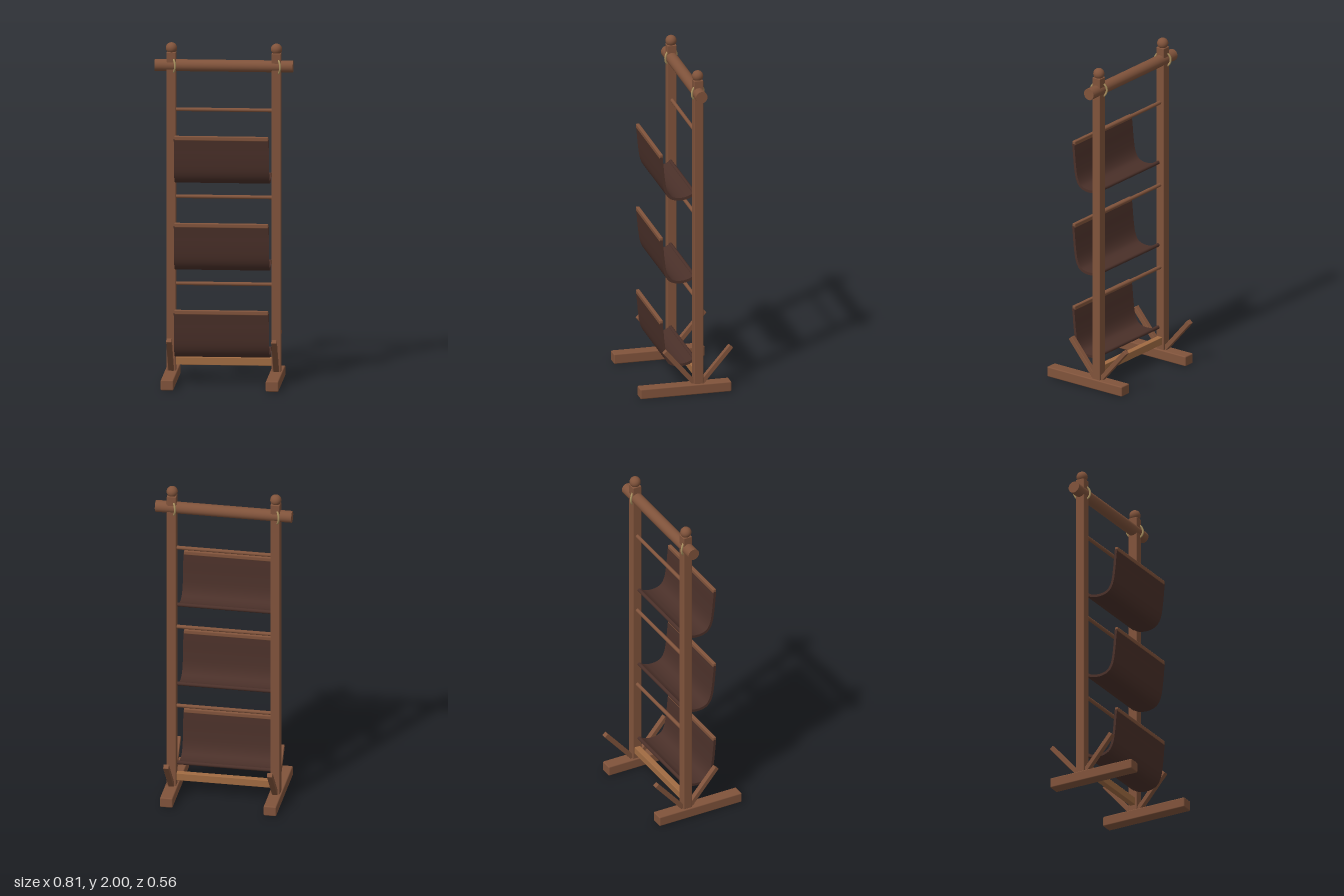
import * as THREE from 'three';
import { toCreasedNormals } from 'three/addons/utils/BufferGeometryUtils.js';
import { RoundedBoxGeometry } from 'three/addons/geometries/RoundedBoxGeometry.js';

const POST_X = 0.307, POST_Z = -0.073;
const SHELF_STEP = 0.515;

const wood = new THREE.MeshStandardMaterial({ name: 'brown wood', color: 0x80533b });
const paleWood = new THREE.MeshStandardMaterial({ name: 'pale wood', color: 0xa06b42 });
const leather = new THREE.MeshStandardMaterial({ name: 'dark leather', color: 0x4a3029 });
const rope = new THREE.MeshStandardMaterial({ name: 'tan rope', color: 0xa8905f });

function add(parent, name, geometry, material, x = 0, y = 0, z = 0) {
  const mesh = new THREE.Mesh(geometry, material);
  mesh.name = name;
  mesh.position.set(x, y, z);
  parent.add(mesh);
  return mesh;
}

const beam = (w, h, d, r = 0.005) => new RoundedBoxGeometry(w, h, d, 2, r);
const dowel = (radius, length) => new THREE.CylinderGeometry(radius, radius, length, 24).rotateZ(Math.PI / 2);

// Hanging sheet: a J-shaped strip of constant thickness, extruded across the rack
function slingGeometry(width, thickness) {
  const curve = new THREE.SplineCurve([
    [0.138, 0.272], [0.132, 0.215], [0.126, 0.15], [0.114, 0.073], [0.092, 0.027],
    [0.06, 0.008], [0.02, 0.003], [-0.02, 0.009], [-0.045, 0.02], [-0.062, 0.032],
  ].map(([z, y]) => new THREE.Vector2(z, y)));
  const outer = [], inner = [];
  for (let i = 0; i <= 32; i++) {
    const p = curve.getPoint(i / 32), t = curve.getTangent(i / 32);
    const n = new THREE.Vector2(-t.y, t.x).multiplyScalar(thickness / 2);
    outer.push(p.clone().add(n));
    inner.unshift(p.clone().sub(n));
  }
  const geometry = new THREE.ExtrudeGeometry(new THREE.Shape([...outer, ...inner]), { depth: width, bevelEnabled: false });
  geometry.translate(0, 0, -width / 2).rotateY(-Math.PI / 2);
  return toCreasedNormals(geometry, 0.7);
}

export function createModel() {
  const model = new THREE.Group();
  model.name = 'hangingRack';

  // Side frames: foot, post, ball finial, two braces and a rope lashing each
  for (const side of [-1, 1]) {
    const frame = new THREE.Group();
    frame.name = side > 0 ? 'leftFrame' : 'rightFrame';
    frame.position.x = side * POST_X;
    model.add(frame);

    add(frame, 'foot', beam(0.075, 0.062, 0.548, 0.007), wood, 0, 0.031, 0.006);
    add(frame, 'post', beam(0.056, 1.895, 0.056), wood, 0, 0.9975, POST_Z);
    add(frame, 'finial', new THREE.SphereGeometry(0.033, 24, 16), wood, 0, 1.967, POST_Z);

    // Braces spread upward from the foot of the post
    for (const dir of [-1, 1]) {
      const start = new THREE.Vector2(0.015, 0.055), end = new THREE.Vector2(0.2, 0.271);
      const mid = start.clone().add(end).multiplyScalar(0.5);
      const brace = add(frame, dir > 0 ? 'frontBrace' : 'backBrace',
        beam(0.032, start.distanceTo(end), 0.028, 0.003), wood, 0, mid.y, POST_Z + dir * mid.x);
      brace.rotation.x = dir * Math.atan2(end.x - start.x, end.y - start.y);
    }

    const lashing = add(frame, 'ropeLashing', new THREE.TorusGeometry(0.047, 0.006, 10, 36), rope, 0, 1.865, POST_Z);
    lashing.rotation.y = -Math.PI / 3;
  }

  // Cross members
  add(model, 'topBar', dowel(0.035, 0.808), wood, 0, 1.865, POST_Z);
  add(model, 'bottomRail', beam(0.575, 0.046, 0.036, 0.003), paleWood, 0, 0.117, POST_Z);

  // Three slings, each with a stiffened front edge and a rung above it
  const sling = slingGeometry(0.555, 0.016);
  for (let i = 0; i < 3; i++) {
    const base = 0.165 + i * SHELF_STEP;
    add(model, 'sling', sling, leather, 0, base, 0);
    add(model, 'slingFrontEdge', beam(0.55, 0.027, 0.022, 0.006), wood, 0, base + 0.275, 0.137);
    add(model, 'slingBackRoll', dowel(0.011, 0.555), leather, 0, base + 0.032, -0.062);
    add(model, 'rung', dowel(0.011, 0.575), wood, 0, 0.574 + i * SHELF_STEP, POST_Z);
  }
  return model;
}
